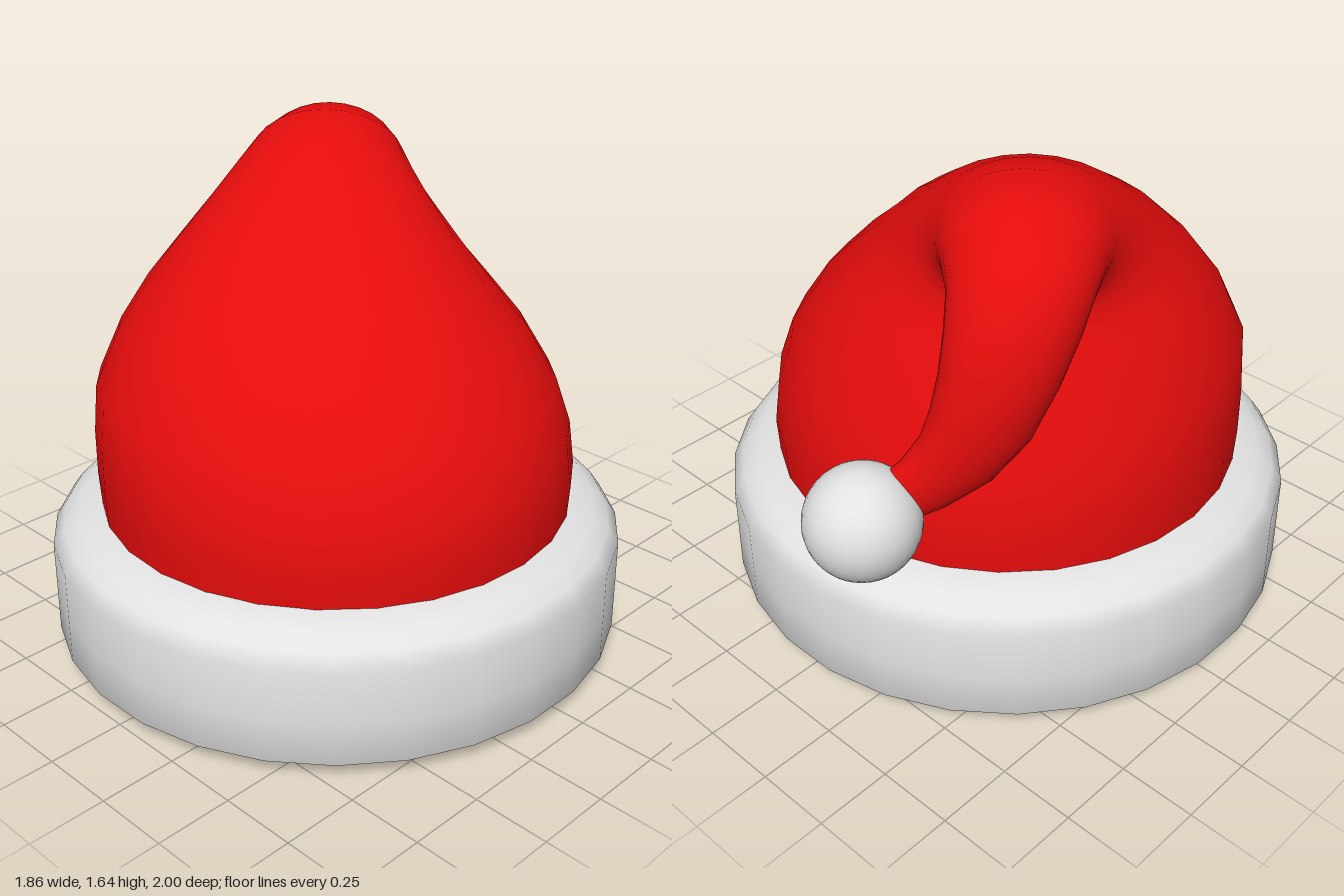
import * as THREE from 'three';

const SIDES = 28;
const CENTRE_Z = 0.065;

// The cone leans backwards and sideways: T is the lean direction, U its horizontal perpendicular.
const T = new THREE.Vector3(-0.656, 0, -0.755);
const U = new THREE.Vector3(0.755, 0, -0.656);

// Each ring: outer point (t, y), inner point (t, y), half width, sideways shift, roll
const RINGS = [
  [-0.765, 0.42, 0.765, 0.42, 0.765, 0, 0],
  [-0.775, 0.58, 0.77, 0.60, 0.775, 0, 0],
  [-0.755, 0.72, 0.745, 0.76, 0.765, -0.01, 0],
  [-0.69, 0.88, 0.695, 0.89, 0.735, -0.03, 0],
  [-0.56, 1.06, 0.65, 1.03, 0.65, -0.045, 0],
  [-0.40, 1.22, 0.61, 1.13, 0.55, -0.06, 0],
  [-0.21, 1.37, 0.58, 1.20, 0.45, -0.065, 0],
  [0.02, 1.50, 0.575, 1.245, 0.36, -0.065, 0],
  [0.22, 1.585, 0.578, 1.265, 0.30, -0.065, 0],
  [0.41, 1.64, 0.582, 1.275, 0.255, -0.06, 0],
  [0.59, 1.62, 0.588, 1.275, 0.23, -0.06, 0],
  [0.74, 1.53, 0.595, 1.25, 0.205, -0.055, 0],
  [0.84, 1.39, 0.61, 1.2, 0.19, -0.035, 0],
  [0.88, 1.21, 0.63, 1.12, 0.17, 0, 0.1],
  [0.88, 1.05, 0.655, 1.0, 0.15, 0.05, 0.3],
  [0.865, 0.93, 0.685, 0.89, 0.125, 0.12, 0.6],
  [0.85, 0.83, 0.715, 0.81, 0.1, 0.215, 0.85],
  [0.845, 0.76, 0.75, 0.75, 0.08, 0.32, 1.0],
];

// Lofts the cone and its folded tail through the rings
function loftCone() {
  const positions = [];
  const index = [];
  for (const [at, ay, bt, by, width, shift, roll] of RINGS) {
    const centre = T.clone().multiplyScalar((at + bt) / 2).addScaledVector(U, shift);
    centre.y = (ay + by) / 2;
    centre.z += CENTRE_Z;
    const depthAxis = T.clone().multiplyScalar((at - bt) / 2);
    depthAxis.y = (ay - by) / 2;
    const widthAxis = U.clone().multiplyScalar(width * Math.cos(roll));
    widthAxis.y = width * Math.sin(roll);
    for (let j = 0; j < SIDES; j++) {
      const a = (j / SIDES) * Math.PI * 2;
      const p = centre.clone()
        .addScaledVector(depthAxis, Math.cos(a))
        .addScaledVector(widthAxis, Math.sin(a));
      positions.push(p.x, p.y, p.z);
    }
  }
  for (let i = 0; i < RINGS.length - 1; i++) {
    for (let j = 0; j < SIDES; j++) {
      const a = i * SIDES + j;
      const b = i * SIDES + ((j + 1) % SIDES);
      index.push(a, b, b + SIDES, a, b + SIDES, a + SIDES);
    }
  }
  const geometry = new THREE.BufferGeometry();
  geometry.setAttribute('position', new THREE.Float32BufferAttribute(positions, 3));
  geometry.setIndex(index);
  geometry.computeVertexNormals();
  return geometry;
}

function latheFrom(profile) {
  const geometry = new THREE.LatheGeometry(profile.map(([r, y]) => new THREE.Vector2(r, y)), SIDES);
  return geometry.rotateY(Math.PI / SIDES);
}

export function createModel() {
  const red = new THREE.MeshStandardMaterial({ color: 0xe50c0c });
  red.name = 'red felt';
  const white = new THREE.MeshStandardMaterial({ color: 0xe2e2e2 });
  white.name = 'white fur';

  const group = new THREE.Group();
  group.name = 'festiveHat';
  const add = (name, geometry, material, x = 0, y = 0, z = 0) => {
    const mesh = new THREE.Mesh(geometry, material);
    mesh.name = name;
    mesh.position.set(x, y, z);
    group.add(mesh);
  };

  // Red cone with the tail folded over the back
  add('cone', loftCone(), red);

  // Thick rounded brim in one sweep: bowl-shaped lining, lip, outer wall and top
  add('brimAndLining', latheFrom([
    [0, 0.49], [0.25, 0.475], [0.43, 0.43], [0.56, 0.35], [0.63, 0.25], [0.66, 0.15], [0.685, 0.07],
    [0.72, 0.025], [0.77, 0.003], [0.82, 0.005], [0.885, 0.025], [0.935, 0.06],
    [0.935, 0.2], [0.935, 0.37], [0.9, 0.42], [0.85, 0.455], [0.77, 0.48], [0.7, 0.48],
  ]), white, 0, 0, CENTRE_Z);

  // Pompom on the end of the tail
  add('pompom', new THREE.SphereGeometry(0.176, 32, 24), white, -0.26, 0.725, -0.825);

  return group;
}
